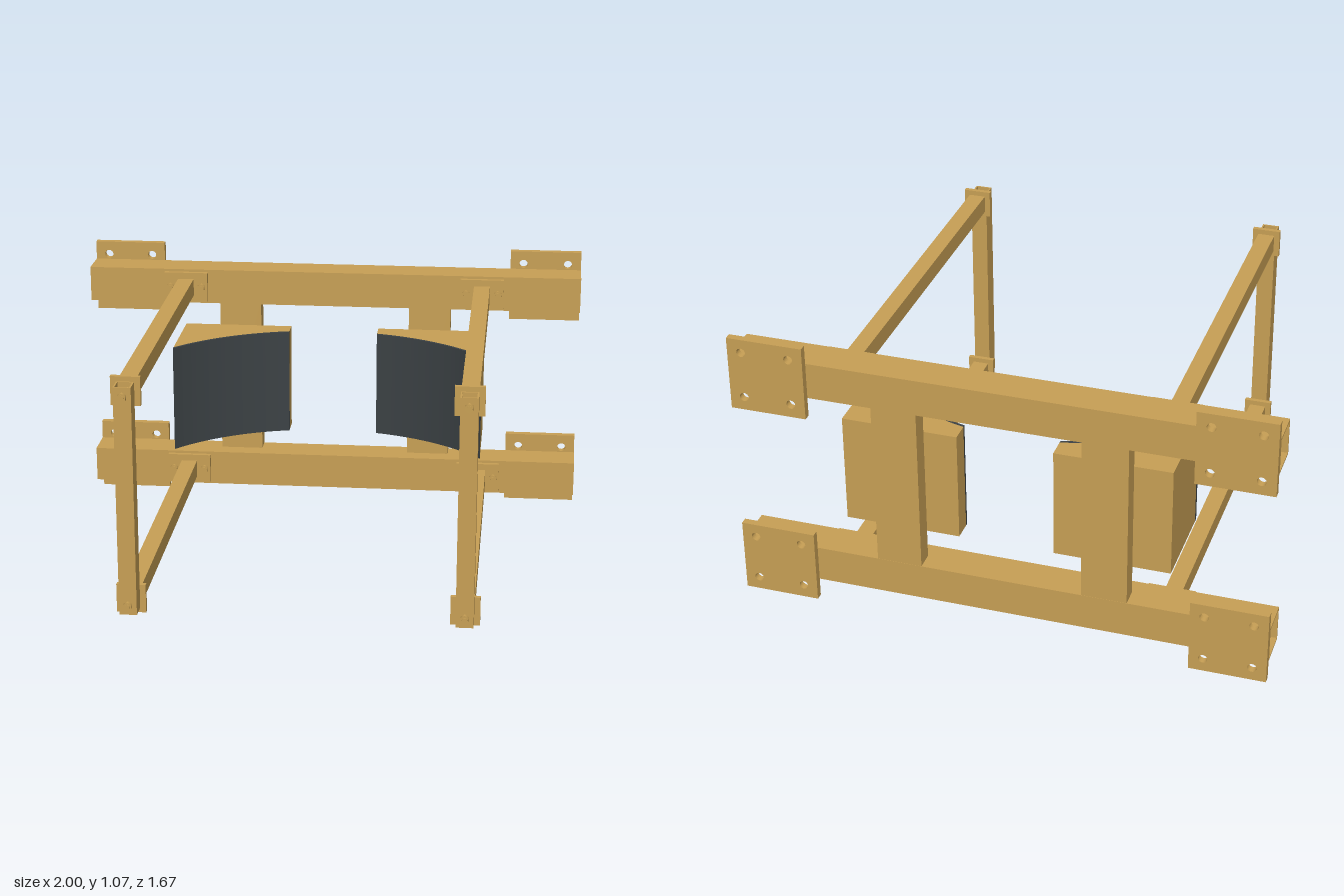
import * as THREE from 'three';

export function createModel() {
  const model = new THREE.Group();
  model.name = 'dockingFrame';
  const steel = new THREE.MeshStandardMaterial({ color: 0xc8a055 });
  const rubber = new THREE.MeshStandardMaterial({ color: 0x3c4245 });

  const add = (name, geometry, x, y, z, material = steel) => {
    const mesh = new THREE.Mesh(geometry, material);
    mesh.name = name;
    mesh.position.set(x, y, z);
    model.add(mesh);
    return mesh;
  };

  const rectangle = (path, w, h) => path
    .moveTo(-w / 2, -h / 2).lineTo(w / 2, -h / 2)
    .lineTo(w / 2, h / 2).lineTo(-w / 2, h / 2).closePath();

  // Centred extrusion along z
  const extrude = (shape, depth) => new THREE.ExtrudeGeometry(shape,
    { depth, bevelEnabled: false, curveSegments: 12 }).translate(0, 0, -depth / 2);

  // Open-ended rectangular tube along z
  const tube = (w, h, length, wall) => {
    const shape = new THREE.Shape();
    rectangle(shape, w, h);
    const hole = new THREE.Path();
    rectangle(hole, w - 2 * wall, h - 2 * wall);
    shape.holes.push(hole);
    return extrude(shape, length);
  };

  // Hex bolt along z, head towards the front
  const bolt = (name, x, y, zSeat, shankBack, shankFront) => {
    const head = new THREE.CylinderGeometry(0.017, 0.017, 0.014, 6).rotateX(Math.PI / 2);
    add(name + 'Head', head, x, y, zSeat + 0.007);
    const length = shankFront - shankBack;
    const shank = new THREE.CylinderGeometry(0.01, 0.01, length, 16).rotateX(Math.PI / 2);
    add(name + 'Shank', shank, x, y, (shankFront + shankBack) / 2);
  };

  // Square mounting plate with four holes
  const mountShape = new THREE.Shape();
  rectangle(mountShape, 0.286, 0.286);
  for (const hx of [-0.09, 0.09]) for (const hy of [-0.091, 0.091]) {
    mountShape.holes.push(new THREE.Path().absarc(hx, hy, 0.017, 0, Math.PI * 2, true));
  }

  const levels = [0.143, 0.929];
  const armX = 0.603;

  for (const y of levels) {
    // Hollow cross rails
    add('rail', tube(0.14, 0.14, 2, 0.007).rotateY(Math.PI / 2), 0, y, -0.737);
    for (const s of [-1, 1]) {
      add('mountingPlate', extrude(mountShape, 0.028), s * 0.857, y, -0.821);

      // Arm with its flange on the rail
      add('armFlange', new THREE.BoxGeometry(0.176, 0.12, 0.018), s * armX, y, -0.658);
      for (const dx of [-0.064, 0.064]) {
        bolt('flangeBolt', s * armX + dx, y, -0.649, -0.69, -0.632);
      }
      add('arm', new THREE.BoxGeometry(0.064, 0.068, 1.379), s * armX, y, 0.0405);

      // Front end plate and the bolt through the post
      add('armEndPlate', new THREE.BoxGeometry(0.107, 0.107, 0.018), s * armX, y, 0.739);
      bolt('postBolt', s * armX, y, 0.817, 0.735, 0.835);
    }
  }

  // Curved fender: a concave circular face about a shared centre
  const zCentre = 0.113, radius = 0.784, skin = 0.011;
  const xIn = 0.18, xOut = 0.617, steps = 28;
  const arc = (r, s) => Array.from({ length: steps + 1 }, (_, i) => {
    const x = xIn + (xOut - xIn) * i / steps;
    return new THREE.Vector2(s * x, Math.sqrt(r * r - x * x) - zCentre);
  });
  const standing = points => extrude(new THREE.Shape(points), 0.425).rotateX(-Math.PI / 2);

  for (const s of [-1, 1]) {
    // Vertical tie between the rails
    add('upright', new THREE.BoxGeometry(0.17, 0.646, 0.07), s * 0.39, 0.536, -0.771);

    // Hollow front post
    add('frontPost', tube(0.064, 0.069, 0.856, 0.006).rotateX(Math.PI / 2),
      s * armX, 0.536, 0.7825);

    // Fender block and its rubber facing
    const back = arc(radius + skin, s);
    add('fenderBlock', standing([...back,
      new THREE.Vector2(s * xOut, 0.736), new THREE.Vector2(s * xIn, 0.736)]), 0, 0.537, 0);
    add('fenderFacing', standing([...arc(radius, s), ...back.slice().reverse()]),
      0, 0.537, 0, rubber);
  }
  return model;
}
